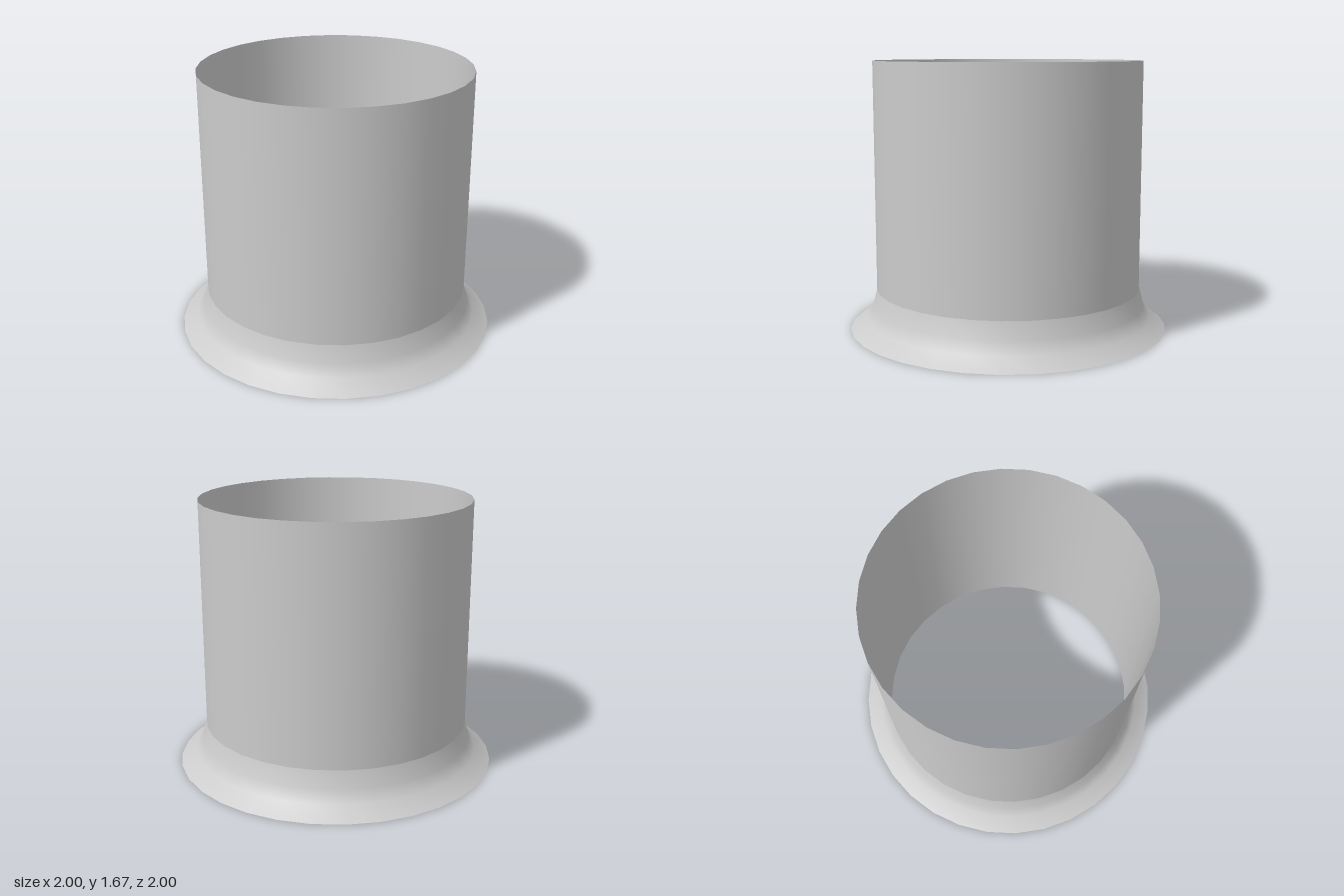
import * as THREE from 'three';

const SEGMENTS = 32;
const RADIUS = 0.833;
const HEIGHT = 1.67;

export function createModel() {
  const group = new THREE.Group();
  group.name = 'flangedSleeve';
  const material = new THREE.MeshStandardMaterial({ color: 0xcccccc, side: THREE.DoubleSide });

  const addPart = (name, geometry) => {
    const mesh = new THREE.Mesh(geometry, material);
    mesh.name = name;
    group.add(mesh);
    return mesh;
  };

  // Thin open tube, running the full height
  const tube = addPart('tube', new THREE.CylinderGeometry(RADIUS, RADIUS, HEIGHT, SEGMENTS, 1, true));
  tube.position.y = HEIGHT / 2;

  // Curved skirt flaring out around the foot of the tube, open underneath
  const profile = [[1, 0], [0.9, 0.07], [0.86, 0.145], [RADIUS, 0.25]];
  addPart('flare', new THREE.LatheGeometry(profile.map(([r, y]) => new THREE.Vector2(r, y)), SEGMENTS));

  return group;
}
